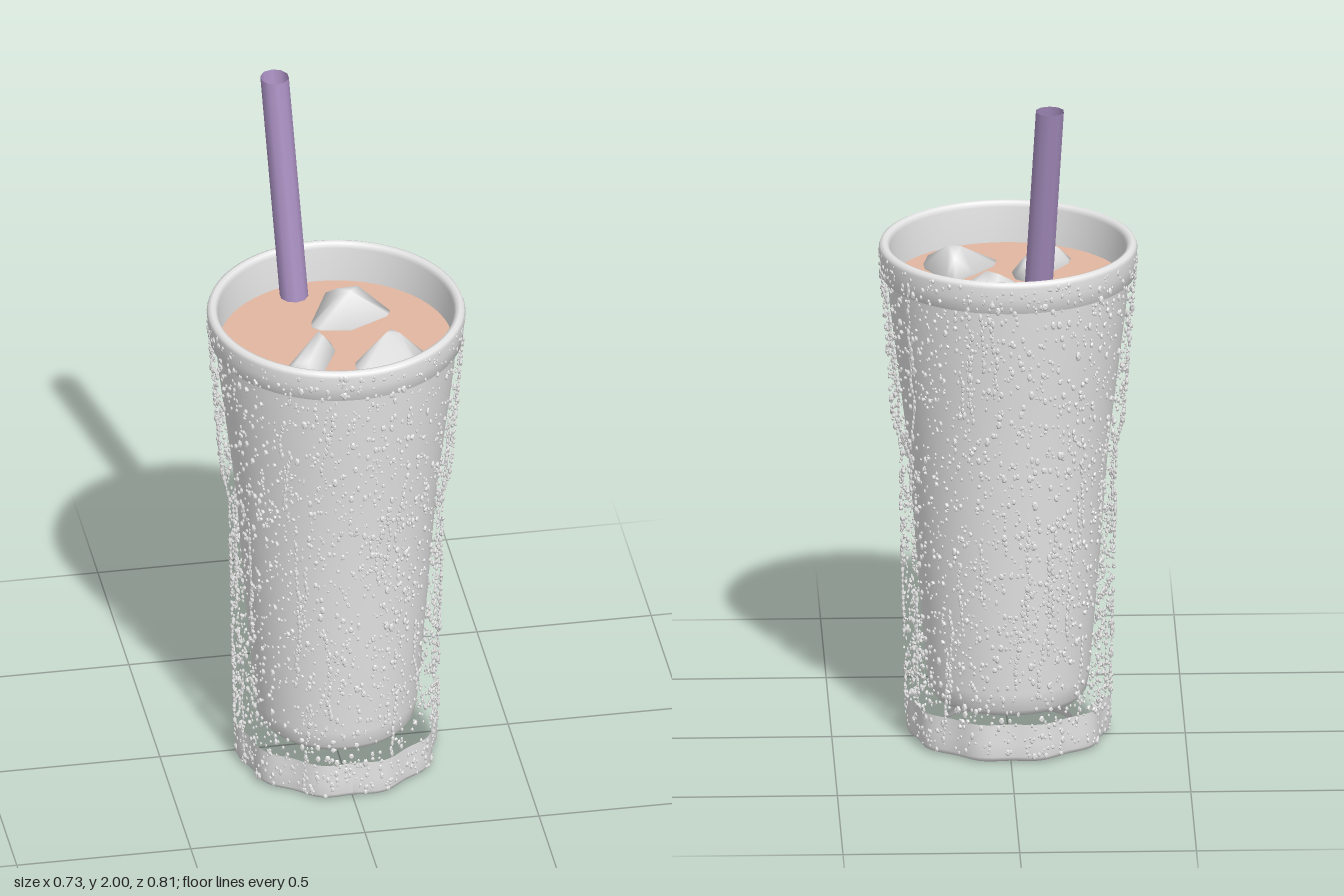
import * as THREE from 'three';
import { mergeGeometries, mergeVertices } from 'three/addons/utils/BufferGeometryUtils.js';
import { ConvexGeometry } from 'three/addons/geometries/ConvexGeometry.js';

const CZ = 0.035; // the glass sits slightly forward because the straw leans back
const LIQUID_Y = 1.35;

function material(name, color, side = THREE.FrontSide) {
  const m = new THREE.MeshStandardMaterial({ color, side });
  m.name = name;
  return m;
}

function seeded(seed) {
  return () => {
    seed = (seed * 16807) % 2147483647;
    return seed / 2147483647;
  };
}

function lathe(points, segments = 64) {
  return new THREE.LatheGeometry(points.map(([r, y]) => new THREE.Vector2(r, y)), segments);
}

// Ten soft flutes run up the lower part of the glass, with crests on the left and right
const flute = (angle) => -0.007 * Math.cos(10 * angle);

// Outer radius of the glass at a height and angle
const OUTER = [[0, 0.282], [0.85, 0.3], [0.95, 0.328], [1.38, 0.36], [1.47, 0.366]];
function outerRadius(y, angle) {
  let i = 1;
  while (i < OUTER.length - 1 && y > OUTER[i][0]) i++;
  const [y0, r0] = OUTER[i - 1], [y1, r1] = OUTER[i];
  const r = r0 + (r1 - r0) * (y - y0) / (y1 - y0);
  return r + flute(angle) * THREE.MathUtils.clamp((0.92 - y) / 0.1, 0, 1);
}

// Softly shaded chunk: waterline outline plus raised points, heights above the drink
function iceGeometry(outline, tops) {
  const pts = tops.map(([x, h, z]) => new THREE.Vector3(x, LIQUID_Y + h, z));
  const cx = outline.reduce((s, p) => s + p[0], 0) / outline.length;
  const cz = outline.reduce((s, p) => s + p[1], 0) / outline.length;
  for (const [x, z] of outline) {
    pts.push(new THREE.Vector3(x, LIQUID_Y + 0.008, z));
    pts.push(new THREE.Vector3(cx + (x - cx) * 0.6, LIQUID_Y - 0.08, cz + (z - cz) * 0.6));
  }
  let g = new ConvexGeometry(pts);
  g.deleteAttribute('normal');
  g = mergeVertices(g);
  g.computeVertexNormals();
  return g;
}

// Condensation beads scattered over the outer wall, some of them in running trails
function dropletGeometry() {
  const rand = seeded(4127);
  const bead = new THREE.IcosahedronGeometry(1, 0);
  const parts = [];
  const add = (y, angle, size, stretch) => {
    const r = outerRadius(y, angle);
    const g = bead.clone();
    g.scale(size, size * stretch, size * 0.8);
    g.rotateY(angle);
    g.translate(r * Math.sin(angle), y, r * Math.cos(angle));
    parts.push(g);
  };
  for (let i = 0; i < 4600; i++) {
    const size = 0.0035 + 0.006 * rand() * rand();
    add(0.015 + 1.44 * rand(), rand() * Math.PI * 2, size, 1 + rand() * 0.8);
  }
  for (let t = 0; t < 50; t++) {
    let angle = rand() * Math.PI * 2;
    const top = 0.3 + rand() * 1.1;
    const count = 8 + Math.floor(rand() * 14);
    for (let k = 0; k < count; k++) {
      const y = top - k * 0.016;
      angle += (rand() - 0.5) * 0.035;
      if (y > 0.02) add(y, angle, 0.003 + 0.004 * rand(), 2);
    }
  }
  return mergeGeometries(parts);
}

export function createModel() {
  const model = new THREE.Group();
  model.name = 'icedDrink';
  const glass = material('clear grey glass', 0xe6e6e6);
  const glassWall = material('inner grey glass', 0xe6e6e6, THREE.DoubleSide);
  const water = material('water beads', 0xe0e0e0);
  const drink = material('milky brown drink', 0xe2b7a0);
  const ice = material('white ice', 0xf2f2f2);
  const purple = material('purple straw', 0xa88fc0, THREE.DoubleSide);

  const add = (name, geometry, mat, z = CZ) => {
    const mesh = new THREE.Mesh(geometry, mat);
    mesh.name = name;
    mesh.position.z = z;
    model.add(mesh);
    return mesh;
  };

  // Inner cup with a rounded floor
  add('innerCup', lathe([
    [0.001, 0.113], [0.18, 0.113], [0.205, 0.12], [0.222, 0.14], [0.231, 0.19],
    [0.26, 0.55], [0.284, 0.87], [0.312, 1.1], [0.333, 1.27], [0.343, 1.38],
  ]), glassWall);

  // Thick rounded lip
  add('rim', lathe([
    [0.343, 1.375], [0.359, 1.378], [0.363, 1.42], [0.366, 1.455], [0.362, 1.466], [0.352, 1.471],
    [0.342, 1.468], [0.334, 1.455], [0.331, 1.34],
  ]), glass);

  // Heavy foot: recessed underside and a fluted outer wall
  const foot = lathe([
    [0.001, 0.045], [0.17, 0.045], [0.185, 0.035], [0.192, 0.012], [0.2, 0.004],
    [0.262, 0.002], [0.276, 0.008], [0.282, 0.02], [0.283, 0.06], [0.284, 0.118],
  ], 100);
  const p = foot.attributes.position;
  for (let i = 0; i < p.count; i++) {
    const x = p.getX(i), z = p.getZ(i), r = Math.hypot(x, z);
    if (r < 0.25) continue;
    const k = 1 + flute(Math.atan2(x, z)) / r;
    p.setX(i, x * k);
    p.setZ(i, z * k);
  }
  foot.computeVertexNormals();
  add('foot', foot, glass);

  add('droplets', dropletGeometry(), water);

  // Drink surface
  const surface = new THREE.CircleGeometry(0.334, 64);
  surface.rotateX(-Math.PI / 2);
  add('drinkSurface', surface, drink).position.y = LIQUID_Y;

  // Three floating ice chunks
  const chunks = [
    [[[0.015, -0.22], [0.04, -0.225], [0.06, -0.213], [0.178, -0.092], [0.17, -0.075], [0.055, -0.017],
      [0.03, -0.02], [-0.035, -0.032], [-0.055, -0.05], [-0.052, -0.07]],
    [[0.095, 0.065, -0.15], [0.065, 0.08, -0.1], [0.03, 0.07, -0.1], [0.04, 0.05, -0.17]]],
    [[[-0.06, 0.028], [-0.04, 0.03], [-0.018, 0.05], [-0.012, 0.09], [-0.085, 0.238], [-0.108, 0.25],
      [-0.165, 0.225], [-0.183, 0.2], [-0.178, 0.18], [-0.09, 0.055]],
    [[-0.055, 0.055, 0.055], [-0.045, 0.055, 0.08], [-0.11, 0.05, 0.205], [-0.145, 0.045, 0.195]]],
    [[[0.15, 0.03], [0.16, 0.028], [0.175, 0.042], [0.235, 0.145], [0.235, 0.17], [0.22, 0.24],
      [0.2, 0.255], [0.05, 0.21], [0.028, 0.192], [0.032, 0.165], [0.095, 0.085]],
    [[0.13, 0.075, 0.125], [0.165, 0.075, 0.135], [0.15, 0.055, 0.08], [0.195, 0.04, 0.17]]],
  ];
  chunks.forEach(([outline, tops], i) => add('iceChunk' + (i + 1), iceGeometry(outline, tops), ice, 0));

  // Hollow straw, leaning back with a level mouth
  const tube = new THREE.CylinderGeometry(0.041, 0.041, 0.9, 10, 1, true);
  tube.applyMatrix4(new THREE.Matrix4().makeShear(0, 0, -0.05, -0.2, 0, 0));
  // makeShear takes (xy, xz, yx, yz, zx, zy): x and z drift with height
  add('straw', tube, purple, -0.275).position.set(-0.083, 1.55, -0.275);

  return model;
}
